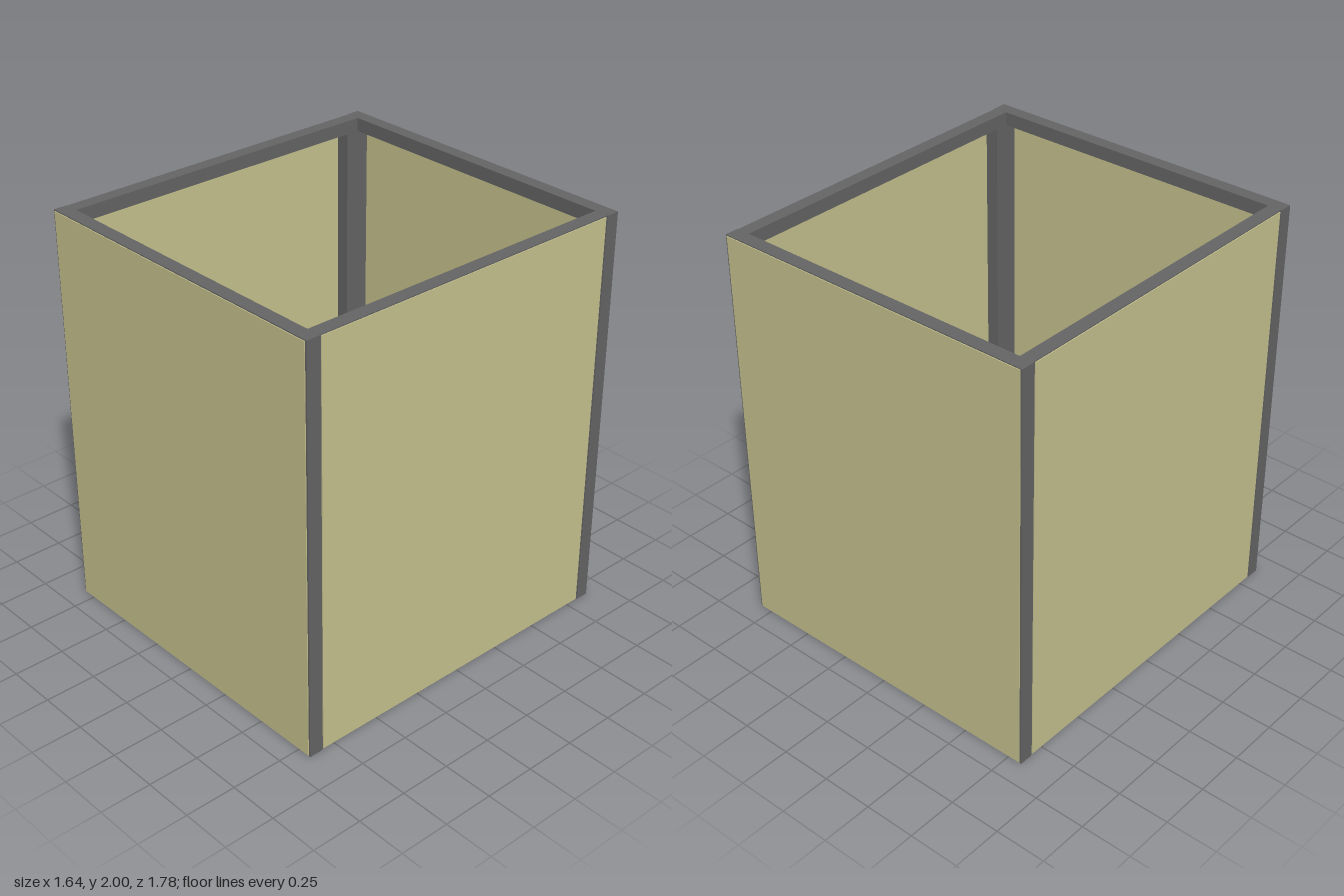
import * as THREE from 'three';

const H = 2, HALF_X = 0.82, HALF_Z = 0.892, BAR = 0.066, SHEET = 0.004, MARGIN = 0.009;

const frameMat = new THREE.MeshStandardMaterial({ color: 0x666666 });
const sheetMat = new THREE.MeshStandardMaterial({ color: 0xc8c490 });

function box(name, mat, w, h, d, x, y, z) {
  const mesh = new THREE.Mesh(new THREE.BoxGeometry(w, h, d), mat);
  mesh.name = name;
  mesh.position.set(x, y, z);
  return mesh;
}

// One framed wall: outer face at local z = 0, the frame lies behind it
function wall(name, width) {
  const g = new THREE.Group();
  g.name = name;
  const z = -SHEET - BAR / 2;
  for (const s of [-1, 1]) {
    // full-height stiles with rails fitted between them
    g.add(box('stile', frameMat, BAR, H, BAR, s * (width - BAR) / 2, H / 2, z));
    g.add(box('rail', frameMat, width - 2 * BAR, BAR, BAR, 0, H / 2 + s * (H - BAR) / 2, z));
  }
  // covering sheet, a little smaller than the frame
  g.add(box('sheet', sheetMat, width - 2 * MARGIN, H - 0.01, SHEET, 0, H / 2, -SHEET / 2));
  return g;
}

export function createModel() {
  const model = new THREE.Group();
  model.name = 'openBox';
  const sideWidth = 2 * (HALF_Z - BAR - SHEET);

  // Front and back span the full width, the sides fit between them
  const walls = [
    ['frontWall', 2 * HALF_X, 0, HALF_Z, 0],
    ['backWall', 2 * HALF_X, 0, -HALF_Z, Math.PI],
    ['leftWall', sideWidth, HALF_X, 0, Math.PI / 2],
    ['rightWall', sideWidth, -HALF_X, 0, -Math.PI / 2],
  ];
  for (const [name, width, x, z, turn] of walls) {
    const w = wall(name, width);
    w.position.set(x, 0, z);
    w.rotation.y = turn;
    model.add(w);
  }
  return model;
}
